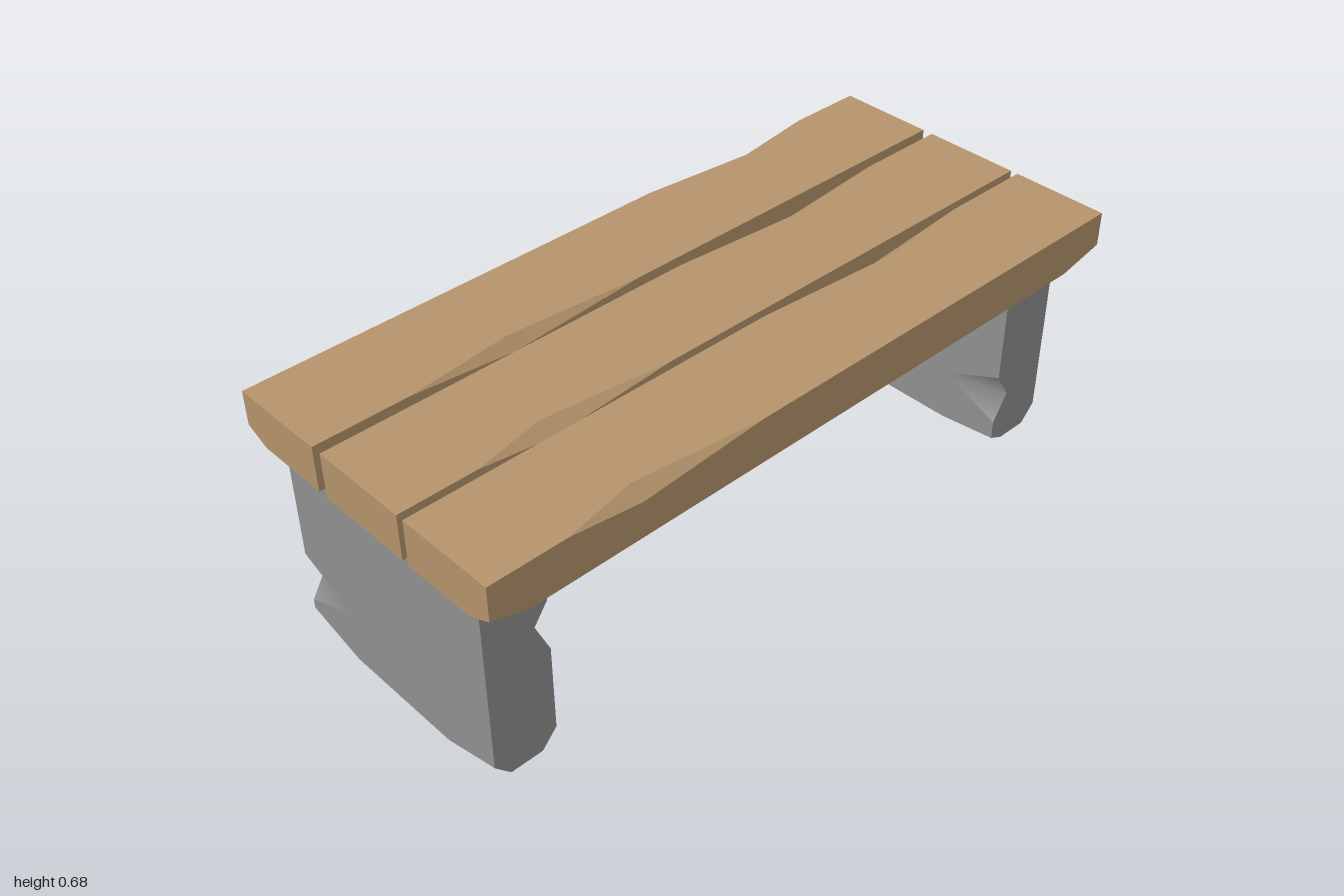
import * as THREE from 'three';

const sub = (p, q) => p.map((v, k) => v - q[k]);
const cross = (u, v) => [u[1] * v[2] - u[2] * v[1], u[2] * v[0] - u[0] * v[2], u[0] * v[1] - u[1] * v[0]];
const dot = (u, v) => u[0] * v[0] + u[1] * v[1] + u[2] * v[2];
const unit = (u) => u.map((v) => v / Math.hypot(...u));

// Box from lo to hi with pieces knocked off its corners and edges.
// corner: { sign: [±1, ±1, ±1], cut: [dx, dy, dz] }
// dent:   { sign: [..], 0 along the edge; from, to, apex along the edge; cut: depth on the two faces }
function chippedBox(lo, hi, corners, dents) {
  const position = [], normal = [];
  const at = (sign) => sign.map((s, k) => (s > 0 ? hi[k] : lo[k]));
  const moved = (p, k, v) => p.map((c, j) => (j === k ? v : c));
  const same = (u, v) => u.every((c, k) => c === v[k]);
  const push = (pts, ns) => { position.push(...pts.flat()); normal.push(...ns.flat()); };
  // triangle turned to face the given outward direction
  const facing = (p, q, r, out) => {
    const n = unit(cross(sub(q, p), sub(r, p)));
    return dot(n, out) > 0 ? { pts: [p, q, r], n } : { pts: [p, r, q], n: n.map((v) => -v) };
  };

  // six sides, each outlined with the bites taken out of it
  for (let a = 0; a < 3; a++) for (const s of [-1, 1]) {
    const b = (a + 1) % 3, c = (a + 2) % 3, outline = [];
    [[-1, -1], [1, -1], [1, 1], [-1, 1]].forEach(([sb, sc], i) => {
      const sign = [0, 0, 0];
      sign[a] = s; sign[b] = sb; sign[c] = sc;
      const m = i % 2 ? c : b, prev = i % 2 ? b : c;
      const p = at(sign), chip = corners.find((k) => same(k.sign, sign));
      if (chip) for (const k of [prev, m]) outline.push(moved(p, k, p[k] - sign[k] * chip.cut[k]));
      else outline.push(p);
      const edge = moved(sign, m, 0), o = 3 - a - m;
      const run = dents.filter((d) => same(d.sign, edge)).flatMap((d) => [
        moved(p, m, d.from),
        moved(moved(p, m, d.apex), o, p[o] - sign[o] * d.cut[o]),
        moved(p, m, d.to),
      ]);
      outline.push(...(i < 2 ? run : run.reverse()));
    });
    const n = moved([0, 0, 0], a, s);
    const flat = outline.map((p) => new THREE.Vector2(p[b], p[c]));
    for (const t of THREE.ShapeUtils.triangulateShape(flat, [])) {
      push(facing(...t.map((j) => outline[j]), n).pts, [n, n, n]);
    }
  }

  // broken corners
  for (const { sign, cut } of corners) {
    const p = at(sign);
    const t = facing(...[0, 1, 2].map((k) => moved(p, k, p[k] - sign[k] * cut[k])), sign);
    push(t.pts, [t.n, t.n, t.n]);
  }

  // edge dents: two facets, softened along their shared fold
  for (const { sign, from, to, apex, cut } of dents) {
    const m = sign.indexOf(0), p = moved(at(sign), m, apex);
    const fold = [0, 1, 2].filter((k) => k !== m).map((k) => moved(p, k, p[k] - sign[k] * cut[k]));
    const facets = [from, to].map((v) => facing(moved(p, m, v), ...fold, sign));
    const soft = unit(facets[0].n.map((v, k) => v + facets[1].n[k]));
    for (const { pts, n } of facets) push(pts, [n, soft, soft]);
  }

  const g = new THREE.BufferGeometry();
  g.setAttribute('position', new THREE.Float32BufferAttribute(position, 3));
  g.setAttribute('normal', new THREE.Float32BufferAttribute(normal, 3));
  return g;
}

export function createModel() {
  const model = new THREE.Group();
  const wood = new THREE.MeshStandardMaterial({ color: 0xb5946b });
  const stone = new THREE.MeshStandardMaterial({ color: 0x909090 });
  const add = (name, geometry, material) => {
    const mesh = new THREE.Mesh(geometry, material);
    mesh.name = name;
    model.add(mesh);
    return mesh;
  };

  // seat planks: one dent on each long top edge
  const plankDents = [
    { sign: [0, 1, 1], from: -0.79, to: -0.23, apex: -0.585, cut: [0, 0.027, 0.04] },
    { sign: [0, 1, -1], from: 0.05, to: 0.74, apex: 0.44, cut: [0, 0.027, 0.032] },
  ];
  const outerCorners = [
    { sign: [-1, -1, 1], cut: [0.1, 0.03, 0.067] },
    { sign: [1, -1, 1], cut: [0.135, 0.03, 0.067] },
  ];
  const outer = chippedBox([-1, 0.55, 0.163], [1, 0.675, 0.437], outerCorners, plankDents);
  add('frontPlank', outer, wood);
  add('backPlank', outer, wood).rotation.y = Math.PI;
  add('middlePlank', chippedBox([-1, 0.55, -0.133], [1, 0.675, 0.142], [], plankDents), wood);

  // slab legs: broken feet corners, a dent on the inner front and outer back edges
  const low = { from: 0.075, to: 0.225, apex: 0.15 };
  const high = { from: 0.297, to: 0.443, apex: 0.378 };
  const leg = (name, x0, x1, side, inner, outerDent, innerFrontHeight) => {
    const corners = [];
    for (const sx of [-1, 1]) for (const sz of [-1, 1]) {
      const small = sx === -side && sz === 1;
      corners.push({ sign: [sx, -1, sz], cut: [0.043, small ? innerFrontHeight : 0.048, 0.173] });
    }
    const dents = [
      { sign: [-side, 0, 1], ...inner, cut: [0.045, 0, 0.173] },
      { sign: [side, 0, -1], ...outerDent, cut: [0.045, 0, 0.173] },
    ];
    add(name, chippedBox([x0, 0, -0.345], [x1, 0.6, 0.352], corners, dents), stone);
  };
  leg('leftLeg', 0.76, 0.938, 1, low, high, 0.02);
  leg('rightLeg', -0.967, -0.79, -1, high, low, 0.048);

  return model;
}
